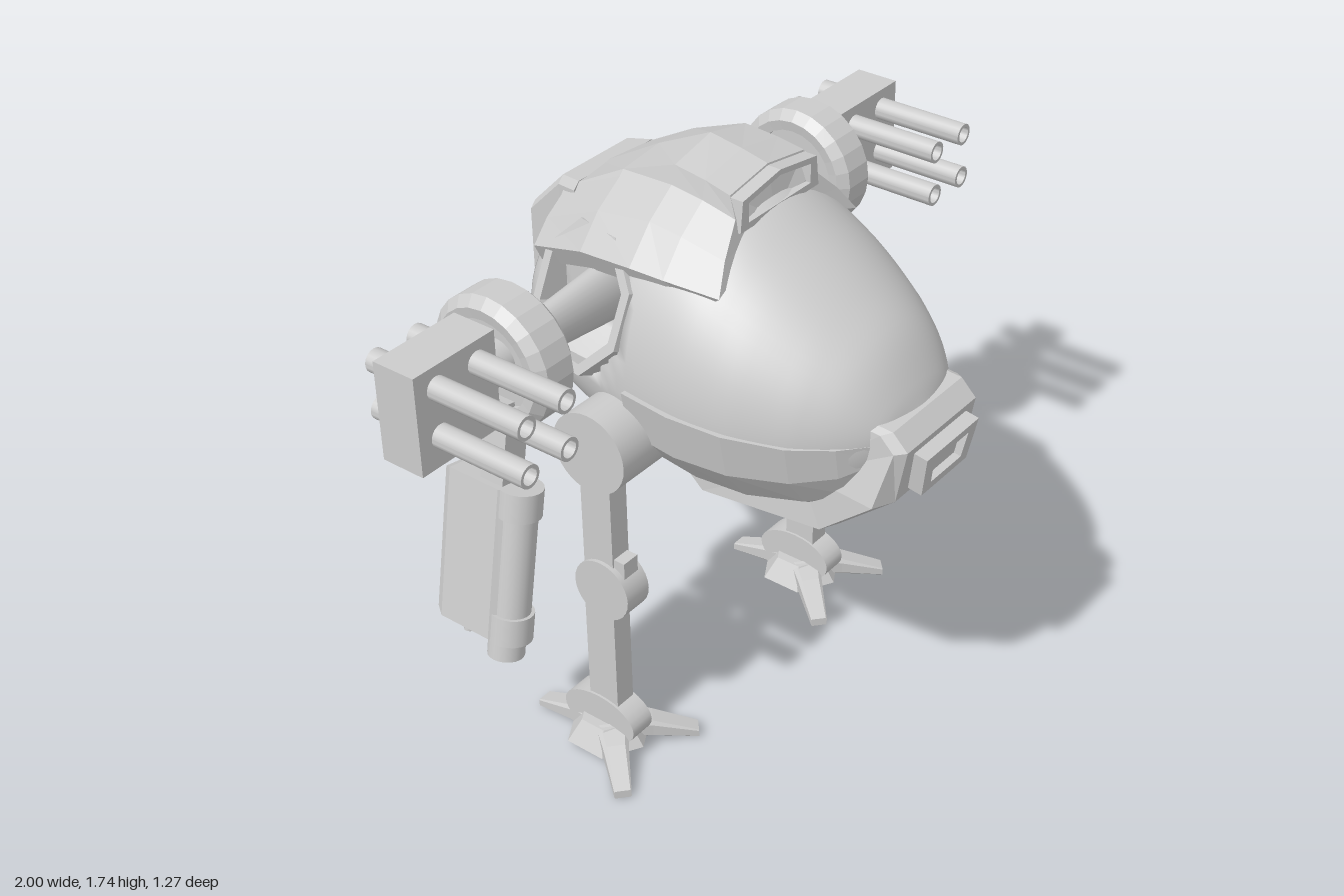
import * as THREE from 'three';
import { toCreasedNormals } from 'three/addons/utils/BufferGeometryUtils.js';

const smooth = new THREE.MeshStandardMaterial({ color: 0xcccccc, side: THREE.DoubleSide });
const flat = new THREE.MeshStandardMaterial({ color: 0xcccccc, side: THREE.DoubleSide, flatShading: true });

function add(parent, name, geo, x = 0, y = 0, z = 0, mat = flat) {
  const m = new THREE.Mesh(geo, mat);
  m.name = name;
  m.position.set(x, y, z);
  parent.add(m);
  return m;
}
const box = (w, h, d) => new THREE.BoxGeometry(w, h, d);
const cylX = (r1, r2, len, seg = 28) => new THREE.CylinderGeometry(r1, r2, len, seg).rotateZ(-Math.PI / 2);
const vecs = pts => pts.map(p => new THREE.Vector2(...p));
const extrude = (shape, depth) => new THREE.ExtrudeGeometry(shape, { depth, bevelEnabled: false });
function frameShape(outer, inner) {
  const shape = new THREE.Shape(vecs(outer));
  shape.holes.push(new THREE.Path(vecs(inner)));
  return shape;
}

// Skin over rings of [x, y, z] points, counter-clockwise from +z, ordered back to front
function loft(rings, closed = true) {
  const n = rings[0].length, pos = rings.flat(2), idx = [];
  for (let i = 0; i < rings.length - 1; i++)
    for (let j = 0; j < (closed ? n : n - 1); j++) {
      const a = i * n + j, b = i * n + (j + 1) % n;
      idx.push(a, b, b + n, a, b + n, a + n);
    }
  if (closed) [0, rings.length - 1].forEach((r, end) => {
    const c = pos.length / 3;
    for (let k = 0; k < 3; k++) pos.push(rings[r].reduce((s, p) => s + p[k], 0) / n);
    for (let j = 0; j < n; j++) {
      const a = r * n + j, b = r * n + (j + 1) % n;
      idx.push(c, end ? a : b, end ? b : a);
    }
  });
  const g = new THREE.BufferGeometry();
  g.setAttribute('position', new THREE.Float32BufferAttribute(pos, 3));
  g.setIndex(idx);
  g.computeVertexNormals();
  return g;
}
const rectRing = (w, y0, y1, z, c = 0) => [
  [w, y0 + c, z], [w, y1 - c, z], [w - c, y1, z], [c - w, y1, z],
  [-w, y1 - c, z], [-w, y0 + c, z], [c - w, y0, z], [w - c, y0, z]];

// Hull sections: z, top, bottom, half width, height of the widest line
const sections = [
  [-0.55, 1.43, 1.0, 0.25, 1.22], [-0.5, 1.5, 0.96, 0.295, 1.21], [-0.4, 1.56, 0.92, 0.345, 1.2],
  [-0.25, 1.63, 0.87, 0.38, 1.18], [-0.1, 1.655, 0.85, 0.405, 1.16], [0.05, 1.625, 0.83, 0.41, 1.15],
  [0.2, 1.54, 0.83, 0.385, 1.14], [0.35, 1.435, 0.855, 0.32, 1.13], [0.45, 1.35, 0.9, 0.245, 1.13],
  [0.52, 1.24, 0.99, 0.16, 1.13], [0.55, 1.17, 1.06, 0.06, 1.12]];
const curveA = new THREE.CatmullRomCurve3(sections.map(s => new THREE.Vector3(s[0], s[1], s[2])));
const curveB = new THREE.CatmullRomCurve3(sections.map(s => new THREE.Vector3(s[3], s[4], 0)));
function hullPoint(t, a, k = 1) {
  const A = curveA.getPoint(t), B = curveB.getPoint(t), s = Math.sin(a);
  return [k * B.x * Math.cos(a), B.y + k * s * (s > 0 ? A.y - B.y : B.y - A.z), A.x];
}

function buildBody(root) {
  const body = new THREE.Group();
  body.name = 'body';
  body.position.x = 0.008;
  root.add(body);

  // Egg-shaped hull with a pocket at each shoulder
  const rings = [];
  for (let i = 0; i <= 50; i++) {
    const ring = [];
    for (let j = 0; j < 64; j++) {
      const p = hullPoint(i / 50, j / 64 * Math.PI * 2);
      if (Math.hypot((p[1] - 1.355) / 0.165, (p[2] + 0.29) / 0.145) < 1) p[0] = Math.sign(p[0]) * 0.25;
      ring.push(p);
    }
    rings.push(ring);
  }
  add(body, 'hull', loft(rings), 0, 0, 0, smooth);

  // Faceted lower jaw with a ledge along its rim
  const jaw = [];
  for (let i = -1; i <= 6; i++) {
    const t = 0.4 + 0.1 * Math.max(i, 0), ring = [];
    for (let j = -1; j <= 9; j++) {
      const a = -Math.PI - 0.04 + Math.min(Math.max(j, 0), 8) / 8 * (Math.PI + 0.08);
      ring.push(hullPoint(t, a, i < 0 || j < 0 || j > 8 ? 0.95 : 1.04));
    }
    jaw.push(ring);
  }
  add(body, 'jaw', loft(jaw, false));

  // Keel strip with bevelled flanks, running from the nose under the belly
  const keel = [[0.48, 1.19], [0.555, 1.185], [0.6, 1.14], [0.57, 0.98], [0.4, 0.835],
    [-0.01, 0.79], [-0.08, 0.855], [0, 0.92], [0.4, 0.97]];
  add(body, 'keel', loft([[-1, 0.93], [-0.7, 1], [0.7, 1], [1, 0.93]].map(([side, k]) =>
    keel.map(([z, y]) => [
      side * (y > 1.1 && k < 1 ? 0.178 : 0.225), 1.06 + (y - 1.06) * k, 0.2 + (z - 0.2) * k]))));

  // Nose window with a recessed pane
  const nose = frameShape([[-0.105, 0], [0.105, 0], [0.12, 0.125], [-0.12, 0.125]],
    [[-0.07, 0.025], [-0.08, 0.1], [0.08, 0.1], [0.07, 0.025]]);
  add(body, 'noseWindowFrame', extrude(nose, 0.07), 0, 1.0, 0.545).rotation.x = 0.17;
  add(body, 'noseWindowPane', box(0.17, 0.09, 0.05), 0, 1.065, 0.58).rotation.x = 0.17;

  // Armoured hood: rows of z, then ridge, ridge edge, step, slope and flap as x, y
  const hoodRows = [
    [-0.5, 0, 1.54, 0.15, 1.53, 0.165, 1.51, 0.225, 1.47, 0.28, 1.41],
    [-0.3, 0, 1.655, 0.145, 1.64, 0.16, 1.625, 0.25, 1.565, 0.325, 1.48],
    [-0.13, 0, 1.737, 0.145, 1.705, 0.16, 1.655, 0.25, 1.59, 0.335, 1.495],
    [-0.03, 0, 1.722, 0.15, 1.695, 0.163, 1.645, 0.25, 1.58, 0.325, 1.49],
    [0.05, 0, 1.705, 0.155, 1.68, 0.165, 1.625, 0.24, 1.55, 0.295, 1.475]];
  add(body, 'hood', loft(hoodRows.map(([z, ...c]) => {
    const half = [];
    for (let i = 0; i < 10; i += 2) half.push([c[i], c[i + 1], z + (z > 0 && i > 3 ? (i - 2) * 0.012 : 0)]);
    const right = [[c[8] - 0.03, c[9] - 0.06, z], ...half.slice(1).reverse()];
    return [...right, half[0], ...right.slice().reverse().map(p => [-p[0], p[1], p[2]])];
  })));
  const intake = frameShape([[-0.165, 1.59], [0.165, 1.59], [0.155, 1.675], [0, 1.7], [-0.155, 1.675]],
    [[-0.13, 1.608], [-0.13, 1.662], [0, 1.685], [0.13, 1.662], [0.13, 1.608]]);
  add(body, 'hoodIntake', extrude(intake, 0.05), 0, 0, 0.04);

  // Rear hatch
  add(body, 'rearHatch', loft([
    rectRing(0.13, 1.03, 1.42, -0.63, 0.02), rectRing(0.155, 1.005, 1.445, -0.622, 0.02),
    rectRing(0.152, 0.955, 1.55, -0.52, 0.02), rectRing(0.17, 0.945, 1.56, -0.45, 0.02)]));

  // Octagonal rims around the shoulder pockets
  const oct = (ry, rx) => Array.from({ length: 8 }, (_, i) => {
    const a = (i + 0.5) * Math.PI / 4;
    return [rx * Math.cos(a), ry * Math.sin(a)];
  });
  for (const s of [-1, 1]) {
    const rim = extrude(frameShape(oct(0.205, 0.185), oct(0.175, 0.155)), 0.08).translate(0, 0, -0.07);
    add(body, 'shoulderRim', rim, s * 0.335, 1.355, -0.29).lookAt(s * 1.335, 1.755, -0.5);
  }
}

function buildArm(root, s) {
  const arm = new THREE.Group();
  arm.name = s > 0 ? 'leftArm' : 'rightArm';
  arm.position.set(0, 1.34, -0.28);
  root.add(arm);
  const axle = s > 0 ? cylX(0.055, 0.09, 0.38) : cylX(0.09, 0.055, 0.38);
  add(arm, 'axle', axle, s * 0.42, 0, 0, smooth).scale.z = 0.6;

  // Round shoulder housing
  const ring = vecs([[0.13, -0.065], [0.16, -0.07], [0.187, -0.045], [0.187, 0.045], [0.16, 0.07],
    [0.15, 0.055], [0.13, 0.055], [0.13, -0.065]]);
  add(arm, 'shoulderRing', new THREE.LatheGeometry(ring, 24).rotateZ(-Math.PI / 2), s * 0.635);
  add(arm, 'shoulderDisc', cylX(0.135, 0.135, 0.05), s * 0.635, 0, 0, smooth);
  add(arm, 'shoulderHub', cylX(0.06, 0.06, 0.16), s * 0.67, 0, 0, smooth);

  // Four-barrel gun block
  add(arm, 'gunBlock', box(0.275, 0.28, 0.13), s * 0.8625, 0, -0.005);
  const tube = vecs([[0.023, -0.243], [0.032, -0.243], [0.032, 0.243], [0.023, 0.243], [0.023, -0.243]]);
  const barrel = toCreasedNormals(new THREE.LatheGeometry(tube, 18).rotateX(Math.PI / 2), 0.6);
  for (const x of [0.789, 0.928]) for (const y of [0.08, -0.055])
    add(arm, 'gunBarrel', barrel, s * x, y, 0.1, smooth);

  // Hanging forearm, splayed outwards
  const fore = new THREE.Group();
  fore.name = 'forearm';
  fore.position.set(s * 0.65, -0.14, 0);
  fore.rotation.z = s * (s > 0 ? 0.135 : 0.185);
  arm.add(fore);
  add(fore, 'forearmStrut', box(0.08, 0.24, 0.075), 0, -0.09, 0.01);
  add(fore, 'forearmCase', loft([rectRing(0.04, -0.63, -0.215, -0.145), rectRing(0.06, -0.64, -0.2, -0.115),
    rectRing(0.06, -0.64, -0.2, 0.05), rectRing(0.045, -0.64, -0.2, 0.07)]));
  add(fore, 'forearmBarrel', new THREE.CylinderGeometry(0.05, 0.05, 0.42, 20), 0, -0.42, 0.075, smooth);
  for (const y of [-0.24, -0.605])
    add(fore, 'forearmCollar', new THREE.CylinderGeometry(0.06, 0.06, 0.08, 20), 0, y, 0.075, smooth);
  add(fore, 'forearmMuzzle', new THREE.CylinderGeometry(0.05, 0.05, 0.08, 20), 0, -0.66, 0.065, smooth);
  for (const [x, z] of [[0.02, -0.02], [-0.02, -0.05], [0.02, -0.09]])
    add(fore, 'forearmNozzle', new THREE.CylinderGeometry(0.014, 0.014, 0.05, 10), x, -0.645, z, smooth);
}

function buildLeg(root, s) {
  const leg = new THREE.Group();
  leg.name = s > 0 ? 'leftLeg' : 'rightLeg';
  leg.position.set(s * 0.465 + 0.02, 0, 0);
  root.add(leg);
  add(leg, 'hip', cylX(0.118, 0.118, 0.27, 32), -s * 0.088 - 0.01, 1.025, -0.14, smooth);
  add(leg, 'thigh', box(0.066, 0.44, 0.1), 0, 0.8, -0.145);
  add(leg, 'kneeLug', box(0.055, 0.06, 0.05), 0, 0.655, -0.085);
  add(leg, 'knee', cylX(0.092, 0.092, 0.088), 0, 0.575, -0.13, smooth);
  add(leg, 'shin', box(0.066, 0.46, 0.1), 0, 0.35, -0.15);

  // Ankle dome, foot plate and three toes
  add(leg, 'ankle', cylX(0.125, 0.125, 0.08), 0, 0.105, -0.165, smooth).scale.y = 0.6;
  add(leg, 'footPlate', new THREE.CylinderGeometry(0.08, 0.125, 0.065, 6), 0, 0.06, -0.165);
  const toe = loft([rectRing(0.045, 0.03, 0.095, 0.05, 0.01), rectRing(0.036, 0.02, 0.075, 0.12, 0.01),
    rectRing(0.024, 0, 0.025, 0.25, 0.003)]);
  for (const a of [Math.PI, 0.74, -0.74]) add(leg, 'toe', toe, 0, 0, -0.16).rotation.y = a;
}

export function createModel() {
  const root = new THREE.Group();
  root.name = 'walkingMachine';
  buildBody(root);
  for (const s of [-1, 1]) {
    buildArm(root, s);
    buildLeg(root, s);
  }
  return root;
}
